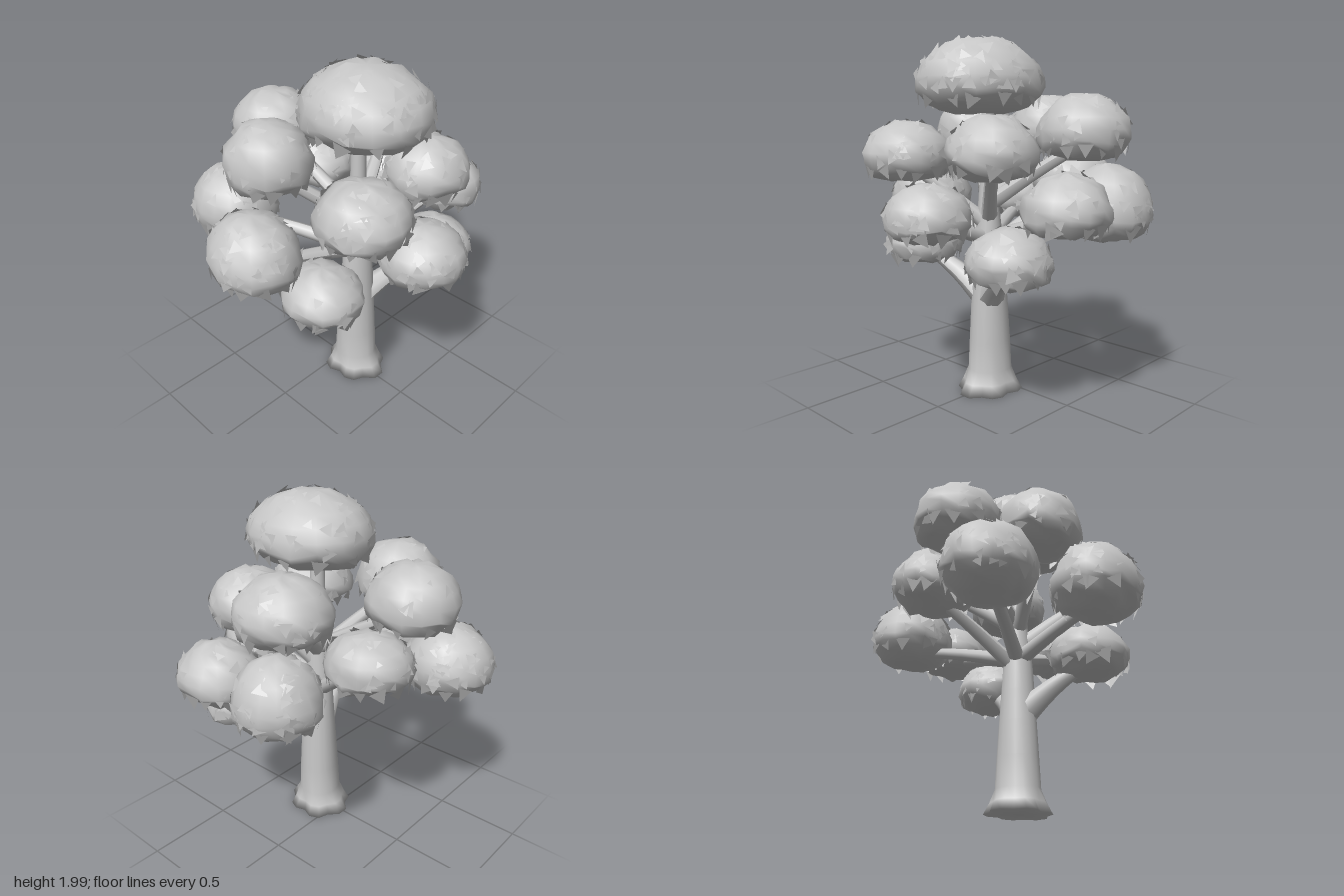
import * as THREE from 'three';
import { mergeVertices } from 'three/addons/utils/BufferGeometryUtils.js';

const grey = new THREE.MeshStandardMaterial({ color: 0xc6c6c6, side: THREE.DoubleSide });
grey.name = 'plain grey';

// Small seeded random generator
function seeded(seed) {
  let s = seed * 7919 + 17;
  return () => {
    s = (s * 16807) % 2147483647;
    return s / 2147483647;
  };
}

// Foliage clumps: centre x, z, lowest y, highest y, half width x, half depth z, leafiness
const CLUMPS = [
  [0.165, 0.0, 1.57, 1.99, 0.37, 0.335, 110],
  [-0.49, 0.05, 1.34, 1.70, 0.25, 0.25, 25],
  [-0.17, 0.375, 1.31, 1.70, 0.245, 0.24, 35],
  [0.43, 0.30, 1.21, 1.55, 0.25, 0.25, 45],
  [0.36, -0.28, 1.24, 1.58, 0.235, 0.245, 45],
  [-0.11, -0.50, 1.33, 1.69, 0.26, 0.25, 30],
  [-0.55, 0.34, 0.90, 1.30, 0.26, 0.25, 70],
  [-0.41, -0.20, 1.07, 1.38, 0.24, 0.23, 40],
  [-0.02, 0.63, 0.91, 1.32, 0.265, 0.235, 70],
  [0.565, -0.02, 0.92, 1.23, 0.235, 0.235, 60],
  [0.24, 0.40, 0.71, 1.01, 0.235, 0.22, 25],
  [0.36, -0.40, 0.71, 1.02, 0.225, 0.22, 55],
  [-0.17, -0.62, 0.91, 1.32, 0.24, 0.235, 70],
  [0.22, -0.65, 0.98, 1.30, 0.235, 0.22, 30],
];

// Maps a unit direction to a dome with a fuller, flatter underside
function domePoint(d, [x, z, y0, y1, rx, rz]) {
  const eq = y0 + (y1 - y0) * 0.4;
  const flat = Math.hypot(d.x, d.z) || 1;
  const r = d.y < 0 ? Math.pow(flat, 0.75) : flat;
  const y = d.y < 0 ? eq + d.y * (eq - y0) * 0.95 : eq + d.y * (y1 - eq);
  return new THREE.Vector3(x + (rx * r * d.x) / flat, y, z + (rz * r * d.z) / flat);
}

// Smooth, slightly lumpy body of one clump
function clumpBody(c, rand) {
  let geo = new THREE.SphereGeometry(1, 16, 11);
  geo.deleteAttribute('uv');
  geo.deleteAttribute('normal');
  geo = mergeVertices(geo, 1e-4);
  const pos = geo.attributes.position;
  const d = new THREE.Vector3();
  for (let i = 0; i < pos.count; i++) {
    d.fromBufferAttribute(pos, i).normalize();
    const p = domePoint(d, c);
    p.addScaledVector(d, (rand() - 0.55) * 0.022);
    // ragged rim just below the widest ring
    if (d.y < -0.1 && d.y > -0.75) p.y += (rand() - 0.5) * 0.045;
    pos.setXYZ(i, p.x, p.y, p.z);
  }
  geo.computeVertexNormals();
  return geo;
}

// Loose pointed leaves lying on the clump and hanging round its rim
function clumpLeaves(c, rand) {
  const points = [];
  const normals = [];
  const add = (d, size, lift, spread) => {
    const side = new THREE.Vector3(-d.z, 0, d.x).normalize();
    const down = new THREE.Vector3().crossVectors(d, side).normalize();
    if (down.y > 0) down.negate();
    const tip = down.applyAxisAngle(d, (rand() - 0.5) * spread);
    const across = new THREE.Vector3().crossVectors(tip, d);
    const base = domePoint(d, c);
    const a = base.clone().addScaledVector(across, -size * 0.6).addScaledVector(d, -0.006);
    const b = base.clone().addScaledVector(across, size * 0.6).addScaledVector(d, -0.006);
    const t = base.clone().addScaledVector(tip, size).addScaledVector(d, lift);
    const n = new THREE.Vector3().crossVectors(b.clone().sub(a), t.clone().sub(a));
    for (const v of n.dot(d) > 0 ? [a, b, t] : [b, a, t]) {
      points.push(...v.toArray());
      normals.push(...d.toArray());
    }
  };
  for (let i = 0; i < c[6]; i++) {
    const y = -0.15 + rand() * 1.1;
    const a = rand() * Math.PI * 2;
    const r = Math.sqrt(1 - y * y);
    add(new THREE.Vector3(r * Math.cos(a), y, r * Math.sin(a)), 0.04 + rand() * 0.035, 0.004, 6);
  }
  for (let i = 0; i < 14; i++) {
    const a = ((i + rand()) / 14) * Math.PI * 2;
    const d = new THREE.Vector3(Math.cos(a), -0.3 - rand() * 0.25, Math.sin(a)).normalize();
    add(d, 0.05 + rand() * 0.035, 0.012, 1.4);
  }
  const geo = new THREE.BufferGeometry();
  geo.setAttribute('position', new THREE.Float32BufferAttribute(points, 3));
  geo.setAttribute('normal', new THREE.Float32BufferAttribute(normals, 3));
  return geo;
}

// Tapered limb along a curved path
function limb(path, r0, r1) {
  const seg = 6;
  const sides = 8;
  const curve = new THREE.CatmullRomCurve3(path);
  const geo = new THREE.TubeGeometry(curve, seg, 1, sides);
  const pos = geo.attributes.position;
  const v = new THREE.Vector3();
  for (let i = 0; i <= seg; i++) {
    const c = curve.getPointAt(i / seg);
    const r = THREE.MathUtils.lerp(r0, r1, Math.pow(i / seg, 0.7));
    for (let j = 0; j <= sides; j++) {
      const k = i * (sides + 1) + j;
      v.fromBufferAttribute(pos, k).sub(c).multiplyScalar(r).add(c);
      pos.setXYZ(k, v.x, v.y, v.z);
    }
  }
  geo.computeVertexNormals();
  return geo;
}

// Trunk turned from a profile, its foot pulled out into uneven roots
function trunkGeometry() {
  const profile = [
    [0, 0.01], [0.155, 0.01], [0.138, 0.06], [0.125, 0.13], [0.117, 0.3], [0.106, 0.5],
    [0.095, 0.68], [0.085, 0.85], [0.062, 1.05], [0.045, 1.3], [0.038, 1.72],
  ].map(([r, y]) => new THREE.Vector2(r, y));
  let geo = new THREE.LatheGeometry(profile, 18);
  geo.deleteAttribute('uv');
  geo.deleteAttribute('normal');
  geo = mergeVertices(geo, 1e-4);
  const pos = geo.attributes.position;
  for (let i = 0; i < pos.count; i++) {
    const x = pos.getX(i);
    const y = pos.getY(i);
    const z = pos.getZ(i);
    const a = Math.atan2(z, x);
    const foot = Math.max(0, 1 - y / 0.13);
    const k = 1 + foot * (0.16 + 0.14 * Math.cos(a * 6) + 0.09 * Math.cos(a * 2)) + 0.03 * Math.cos(a * 3 + y * 3);
    pos.setXYZ(i, 0.11 + x * k, Math.max(0, y - (foot > 0.9 ? 0.01 : 0)), -0.01 + z * k);
  }
  geo.computeVertexNormals();
  return geo;
}

export function createModel() {
  const group = new THREE.Group();
  const put = (name, geo, parent = group) => {
    const mesh = new THREE.Mesh(geo, grey);
    mesh.name = name;
    parent.add(mesh);
  };

  put('trunk', trunkGeometry());

  CLUMPS.forEach((c, i) => {
    const rand = seeded(i + 3);
    const clump = new THREE.Group();
    clump.name = 'foliageClump' + (i + 1);
    put('foliageBody', clumpBody(c, rand), clump);
    put('looseLeaves', clumpLeaves(c, rand), clump);
    group.add(clump);

    // Branch from the trunk into the clump; the top clump sits on the trunk itself
    if (i === 0) return;
    const low = c[2] < 0.8;
    const startY = low ? 0.53 : c[2] < 1 ? 0.88 : c[2] - 0.25;
    const start = new THREE.Vector3(0.11, startY, -0.01);
    const end = new THREE.Vector3(c[0], c[2] + 0.1, c[1]);
    const mid = start.clone().lerp(end, 0.5);
    mid.y += low ? 0.02 : 0.01;
    put('branch' + (i + 1), limb([start, mid, end], low ? 0.09 : 0.05, 0.03));
  });

  return group;
}
